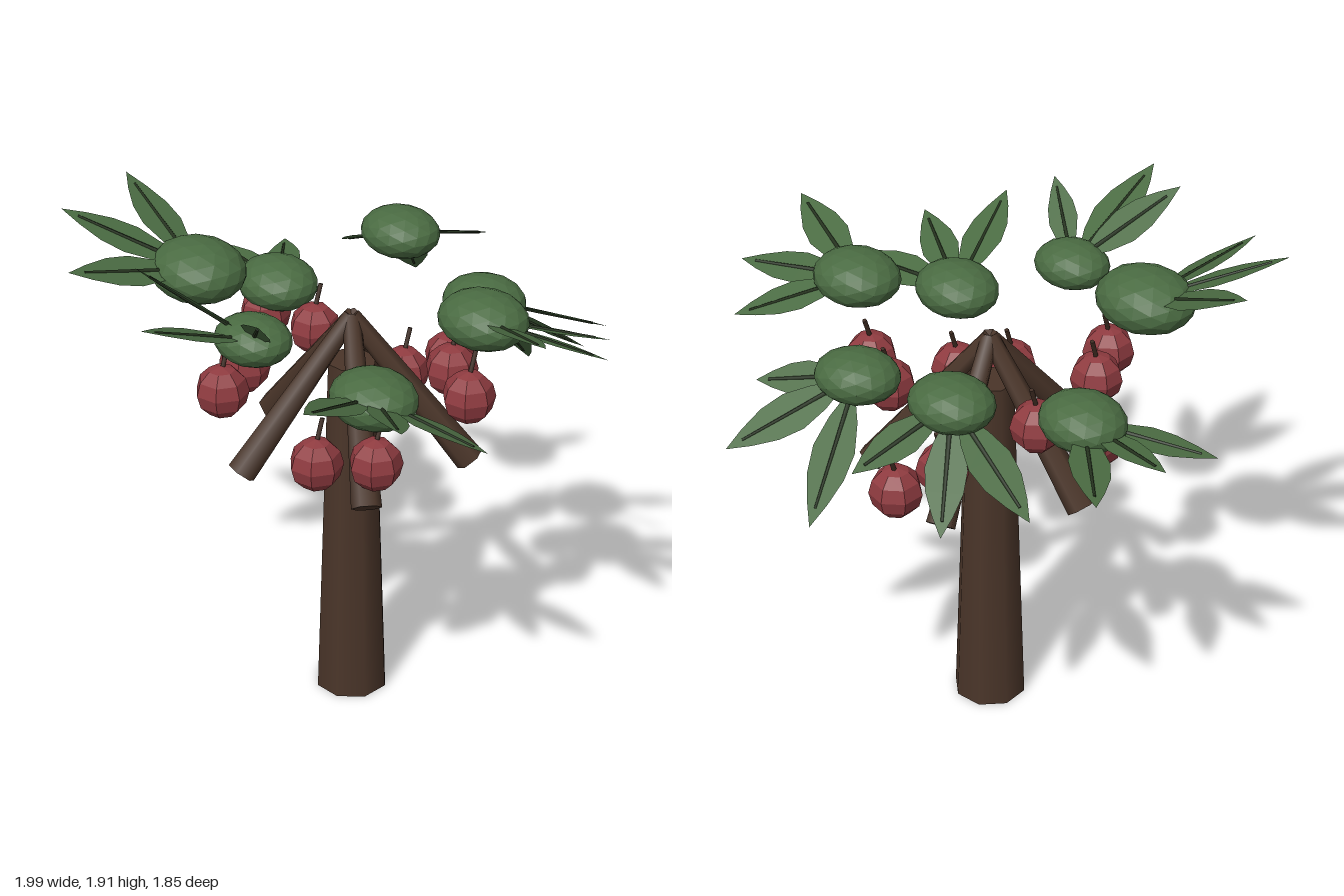
import * as THREE from 'three';

const V = (x, y, z) => new THREE.Vector3(x, y, z);
const mat = (color, opts = {}) => new THREE.MeshStandardMaterial({ color, ...opts });
const bark = mat(0x4a3529);
const stemMat = mat(0x3f2c22);
const foliage = mat(0x4a6b42, { flatShading: true });
const leafMat = mat(0x4a6b42, { side: THREE.DoubleSide, flatShading: true });
const ribMat = mat(0x26331f);
const fruitMat = mat(0x8f3b40, { flatShading: true });

function add(parent, name, geometry, material) {
  const mesh = new THREE.Mesh(geometry, material);
  mesh.name = name;
  parent.add(mesh);
  return mesh;
}

// Tapered rod between two points
function rod(parent, name, a, b, ra, rb, sides, material) {
  const dir = b.clone().sub(a);
  const mesh = add(parent, name, new THREE.CylinderGeometry(rb, ra, dir.length(), sides), material);
  mesh.position.copy(a).lerp(b, 0.5);
  mesh.quaternion.setFromUnitVectors(V(0, 1, 0), dir.normalize());
}

// Flat pointed blade made from rows across its length
function leafGeometry(base, tip, side) {
  const len = base.distanceTo(tip);
  const rows = [[0, 0.03], [0.2, 0.12], [0.42, 0.175], [0.62, 0.155], [0.82, 0.085], [1, 0]];
  const pos = [], index = [];
  rows.forEach(([t, w], i) => {
    const mid = base.clone().lerp(tip, t);
    for (const s of [-1, 1]) pos.push(...mid.clone().addScaledVector(side, s * w * len).toArray());
    if (i) {
      const k = 2 * i;
      index.push(k - 2, k - 1, k, k - 1, k + 1, k);
    }
  });
  const g = new THREE.BufferGeometry();
  g.setAttribute('position', new THREE.Float32BufferAttribute(pos, 3));
  g.setIndex(index);
  g.computeVertexNormals();
  return g;
}

// Leafy clump: centre, radius, turn about y, three leaf tips
const CLUMPS = [
  { c: [-0.05, 1.62, -0.58], r: 0.157, turn: -0.35, tips: [[-0.41, 1.40, -0.87], [-0.12, 1.31, -0.92], [0.18, 1.51, -0.93]] },
  { c: [0.37, 1.52, -0.35], r: 0.156, turn: -0.1, tips: [[0.42, 1.12, -0.73], [0.74, 1.34, -0.67], [0.76, 1.42, -0.33]] },
  { c: [0.52, 1.665, 0.07], r: 0.168, turn: -0.35, tips: [[0.91, 1.56, -0.15], [0.99, 1.63, 0.13], [0.86, 1.78, 0.41]] },
  { c: [0.26, 1.475, 0.42], r: 0.168, turn: -0.5, tips: [[0.74, 1.46, 0.6], [0.51, 1.58, 0.79], [0.22, 1.65, 0.91]] },
  { c: [-0.17, 1.63, 0.455], r: 0.145, turn: -0.35, tips: [[-0.02, 1.83, 0.73], [-0.35, 1.84, 0.92], [-0.52, 1.91, 0.63]] },
  { c: [-0.52, 1.7, 0.16], r: 0.188, turn: -0.45, tips: [[-0.82, 1.8, 0.55], [-1.0, 1.89, 0.26], [-0.93, 1.9, -0.1]] },
  { c: [-0.43, 1.46, -0.31], r: 0.165, turn: -0.5, tips: [[-0.9, 1.38, -0.28], [-0.78, 1.46, -0.54], [-0.6, 1.42, -0.75]] },
];

const FRUITS = [
  [0.05, 1.18, 0.43], [0.24, 1.18, 0.35], [0.18, 1.18, -0.51], [0.07, 1.18, -0.33],
  [-0.34, 1.35, 0.36], [-0.35, 1.35, 0.16], [-0.24, 1.35, -0.22], [-0.46, 1.35, -0.26],
  [0.34, 1.35, -0.11], [0.47, 1.35, 0.06],
];

export function createModel() {
  const model = new THREE.Group();
  model.name = 'tree';

  // Trunk
  add(model, 'trunk', new THREE.CylinderGeometry(0.09, 0.138, 1.37, 8), bark).position.y = 0.685;

  // Five branches sloping down from the crown
  for (let i = 0; i < 5; i++) {
    const a = THREE.MathUtils.degToRad(-12 + 72 * i);
    rod(model, 'branch', V(0.435 * Math.cos(a), 1.01, 0.435 * Math.sin(a)), V(0, 1.545, 0), 0.055, 0.032, 6, bark);
  }

  // Clumps of foliage with ribbed leaves
  for (const { c, r, turn, tips } of CLUMPS) {
    const group = new THREE.Group();
    group.name = 'foliageCluster';
    model.add(group);
    const centre = V(...c);
    const clump = add(group, 'clump', new THREE.IcosahedronGeometry(r, 2), foliage);
    clump.scale.set(1, 0.59, 0.87);
    clump.rotation.y = turn;
    clump.position.copy(centre);

    const arms = tips.map((t) => V(...t).sub(centre));
    const normal = arms[2].clone().cross(arms[0]).normalize();
    if (normal.y < 0) normal.negate();
    for (const arm of arms) {
      const base = centre.clone().addScaledVector(arm, 0.12);
      const tip = centre.clone().add(arm);
      const side = normal.clone().cross(arm).normalize();
      add(group, 'leaf', leafGeometry(base, tip, side), leafMat);
      rod(group, 'leafRib', base, base.clone().lerp(tip, 0.86), 0.009, 0.005, 5, ribMat);
    }
  }

  // Hanging fruit with short stems
  for (const p of FRUITS) {
    const centre = V(...p);
    const fruit = add(model, 'fruit', new THREE.SphereGeometry(0.097, 7, 6), fruitMat);
    fruit.position.copy(centre);
    rod(model, 'fruitStem', centre.clone().add(V(0, 0.07, 0)), centre.clone().add(V(0.01, 0.165, -0.035)), 0.009, 0.009, 5, stemMat);
  }
  return model;
}
